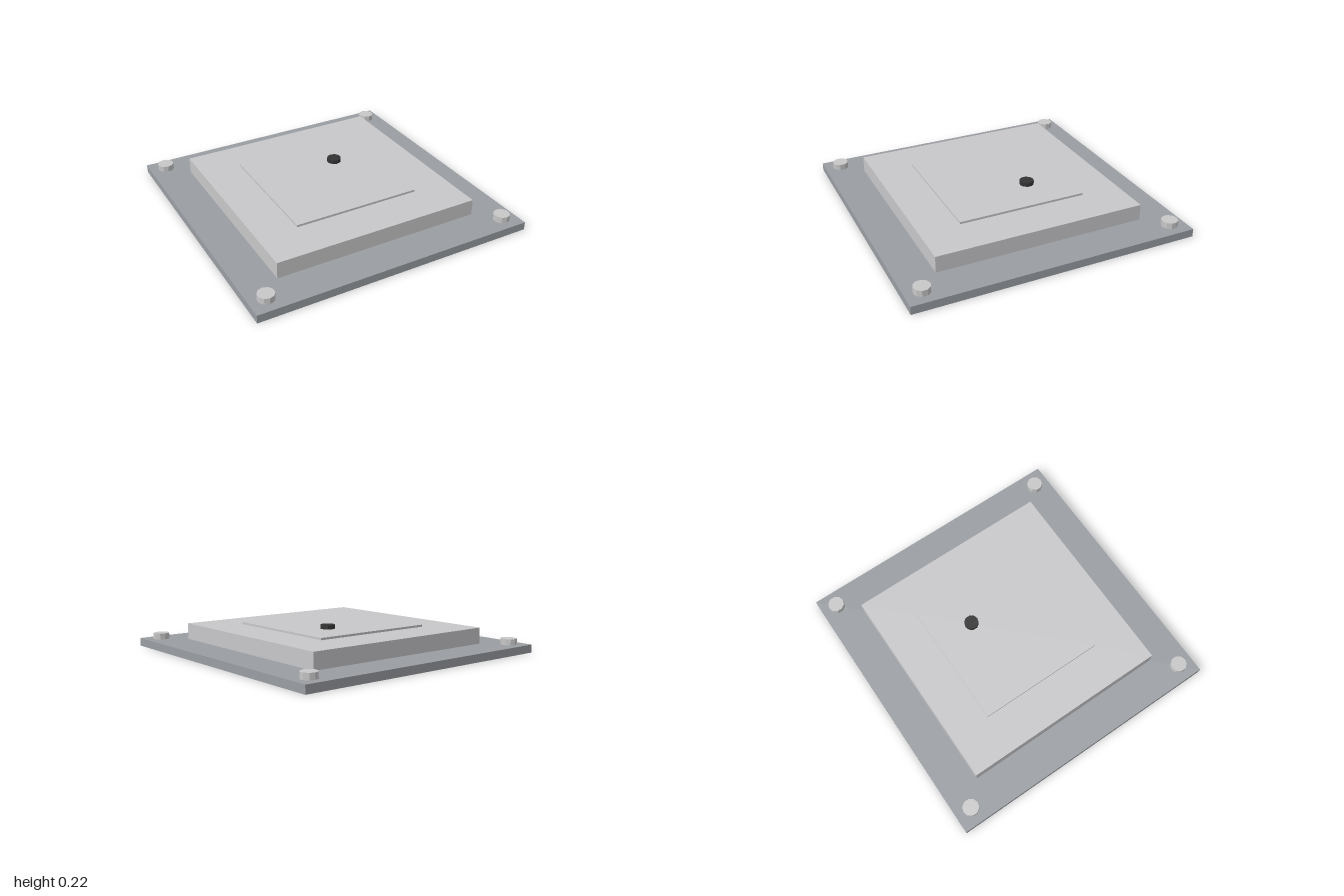
import * as THREE from 'three';

export function createModel() {
  const group = new THREE.Group();
  const material = (name, color) => {
    const m = new THREE.MeshStandardMaterial({ color, flatShading: true });
    m.name = name;
    return m;
  };
  const steel = material('blue grey steel', 0x9a9ea3);
  const paleMetal = material('pale grey metal', 0xc8c8ca);
  const boltMetal = material('bolt grey', 0xc8c8c8);
  const black = material('dark rubber', 0x333333);

  const add = (name, geometry, mat, x, y, z) => {
    const mesh = new THREE.Mesh(geometry, mat);
    mesh.name = name;
    mesh.position.set(x, y, z);
    group.add(mesh);
  };
  // Square slab between two heights
  const slab = (name, size, y0, y1, mat) =>
    add(name, new THREE.BoxGeometry(size, y1 - y0, size), mat, 0, (y0 + y1) / 2, 0);
  // Faceted disc between two heights
  const disc = (name, radius, y0, y1, mat, x, z) =>
    add(name, new THREE.CylinderGeometry(radius, radius, y1 - y0, 10), mat, x, (y0 + y1) / 2, z);

  // Stepped plates
  slab('basePlate', 2, 0, 0.057, steel);
  slab('raisedBlock', 1.486, 0.057, 0.172, paleMetal);
  slab('topPanel', 0.914, 0.172, 0.187, paleMetal);

  // Off-centre button
  disc('button', 0.051, 0.187, 0.215, black, 0.171, -0.171);

  // Corner bolts
  for (const x of [-1, 1])
    for (const z of [-1, 1])
      disc('cornerBolt', 0.057, 0.057, 0.1, boltMetal, x * 0.886, z * 0.886);

  return group;
}
